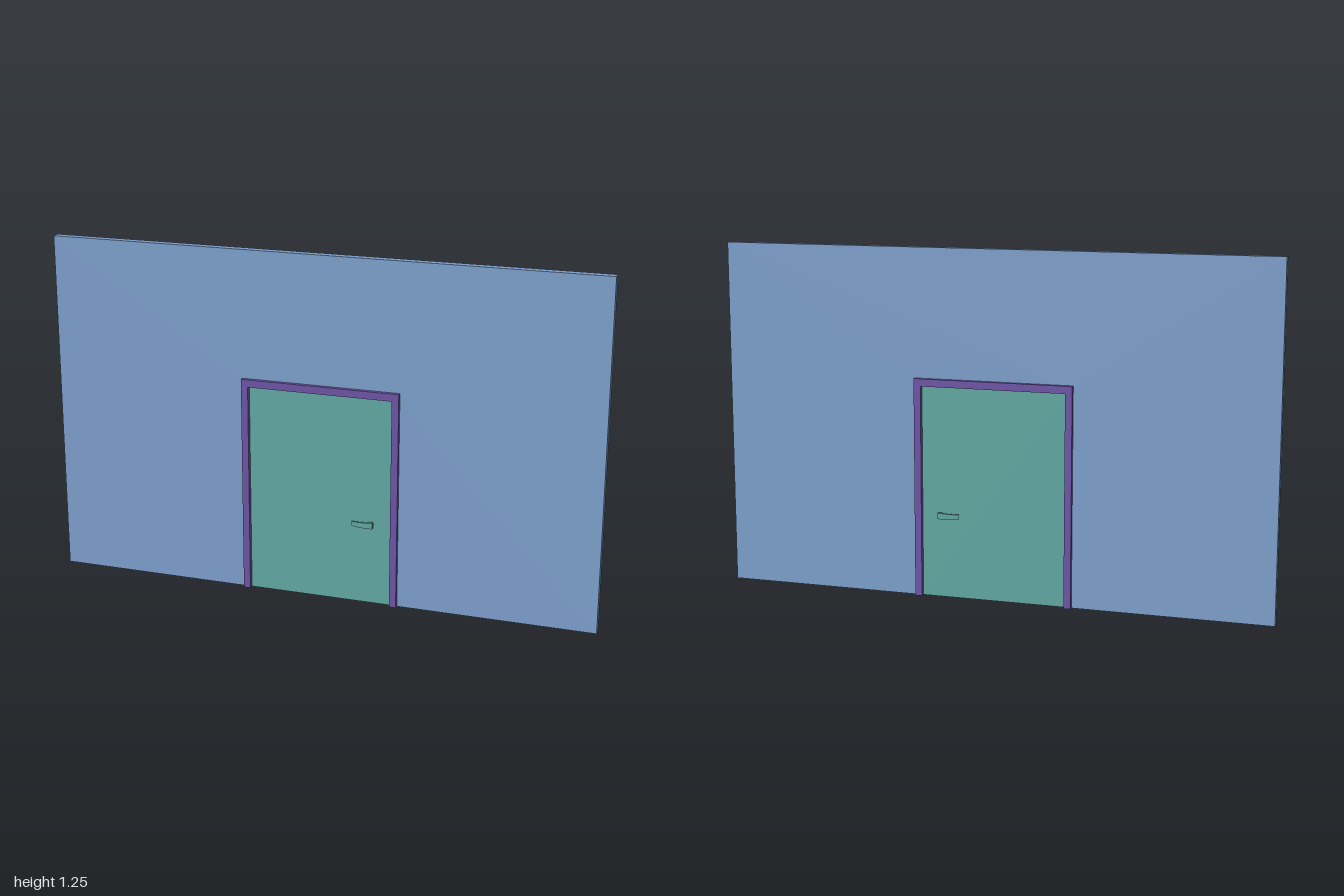
import * as THREE from 'three';

const wallBlue = new THREE.MeshStandardMaterial({ name: 'wallBlue', color: 0x7a9cc8 });
const framePurple = new THREE.MeshStandardMaterial({ name: 'framePurple', color: 0x6b52a3 });
const doorTeal = new THREE.MeshStandardMaterial({ name: 'doorTeal', color: 0x5fa5a0 });

// Arch standing on the floor: a rectangle with a doorway cut from its bottom edge
function arch(name, material, halfW, height, openHalfW, openH, depth) {
  const shape = new THREE.Shape([
    [-halfW, 0], [-openHalfW, 0], [-openHalfW, openH], [openHalfW, openH],
    [openHalfW, 0], [halfW, 0], [halfW, height], [-halfW, height],
  ].map(([x, y]) => new THREE.Vector2(x, y)));
  const geometry = new THREE.ExtrudeGeometry(shape, { depth, bevelEnabled: false });
  geometry.translate(0, 0, -depth / 2);
  const mesh = new THREE.Mesh(geometry, material);
  mesh.name = name;
  return mesh;
}

// Lever handle for the +z face, centred on y = 0
function createHandle(name) {
  const handle = new THREE.Group();
  handle.name = name;

  // Bowed grip drawn in plan, with its thick end over the spindle
  const plan = new THREE.Shape();
  plan.moveTo(0.2, 0.026);
  plan.lineTo(0.2, 0.037);
  plan.quadraticCurveTo(0.165, 0.045, 0.122, 0.032);
  plan.lineTo(0.122, 0.027);
  plan.quadraticCurveTo(0.155, 0.035, 0.182, 0.03);
  plan.lineTo(0.184, 0.026);
  plan.closePath();
  const gripGeometry = new THREE.ExtrudeGeometry(plan, { depth: 0.022, bevelEnabled: false, curveSegments: 8 });
  gripGeometry.rotateX(Math.PI / 2).translate(0, 0.011, 0);
  // Narrow the grip toward its free end
  const p = gripGeometry.attributes.position;
  for (let i = 0; i < p.count; i++) {
    const t = THREE.MathUtils.clamp((0.2 - p.getX(i)) / 0.08, 0, 1);
    p.setY(i, p.getY(i) * (1 - 0.25 * t));
  }
  gripGeometry.computeVertexNormals();
  const grip = new THREE.Mesh(gripGeometry, doorTeal);
  grip.name = 'grip';

  // Spindle joining the grip to the door leaf
  const spindle = new THREE.Mesh(new THREE.CylinderGeometry(0.007, 0.007, 0.02, 16), doorTeal);
  spindle.name = 'spindle';
  spindle.rotation.x = Math.PI / 2;
  spindle.position.set(0.192, 0, 0.02);

  handle.add(grip, spindle);
  handle.position.y = 0.301;
  return handle;
}

export function createModel() {
  const model = new THREE.Group();
  model.name = 'wallWithDoor';

  model.add(arch('wall', wallBlue, 1, 1.25, 0.275, 0.776, 0.032));
  model.add(arch('doorFrame', framePurple, 0.288, 0.79, 0.263, 0.763, 0.062));

  // Door leaf, recessed within the frame
  const door = new THREE.Mesh(new THREE.BoxGeometry(0.526, 0.763, 0.028), doorTeal);
  door.name = 'door';
  door.position.y = 0.763 / 2;
  model.add(door);

  // One handle on each side, on the same edge of the door
  const back = createHandle('backHandle');
  back.rotation.x = Math.PI;
  model.add(createHandle('frontHandle'), back);

  return model;
}
